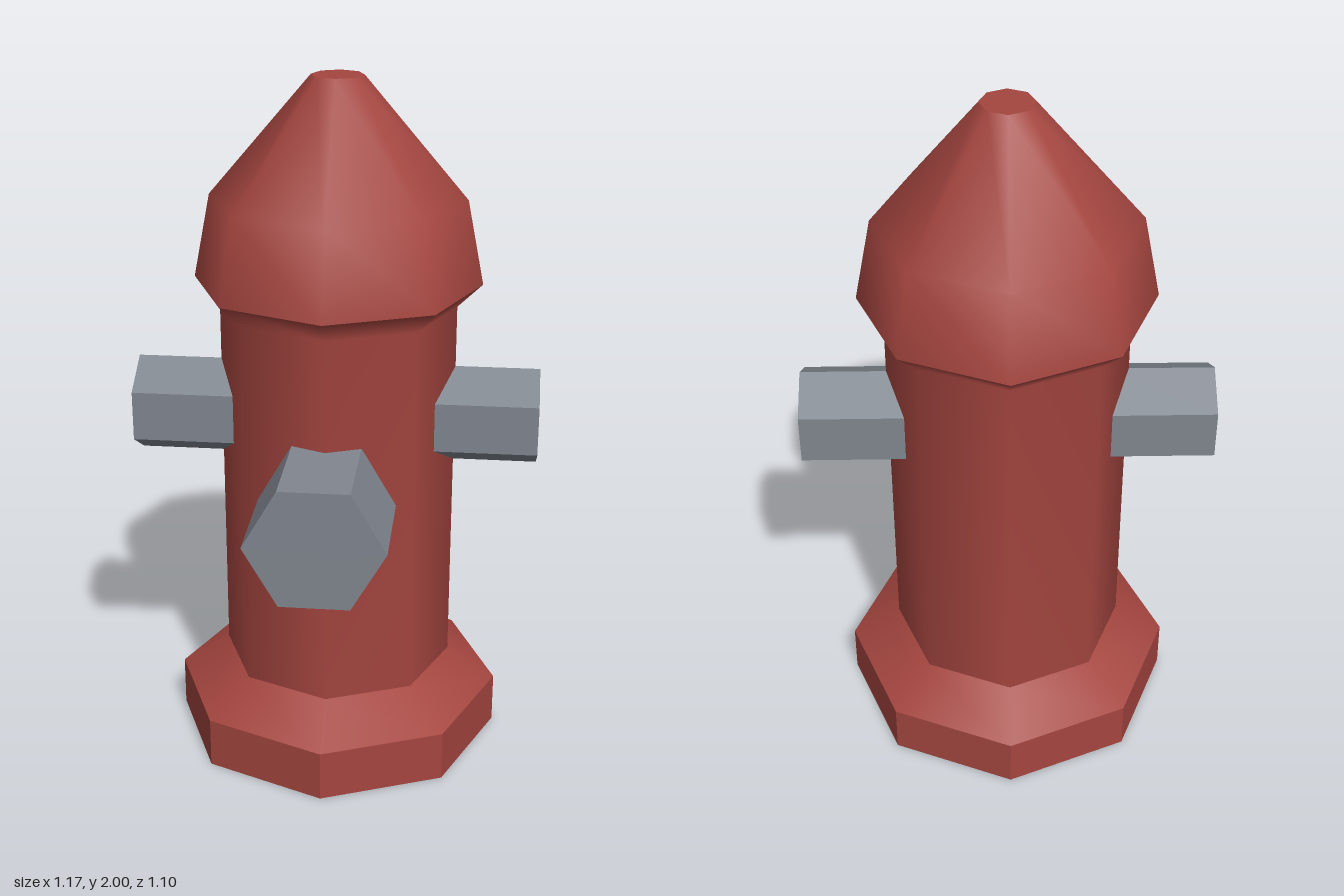
import * as THREE from 'three';

export function createModel() {
  const hydrant = new THREE.Group();
  hydrant.name = 'hydrant';
  const red = new THREE.MeshStandardMaterial({ color: 0xa4453f, side: THREE.DoubleSide });
  red.name = 'red paint';
  const grey = new THREE.MeshStandardMaterial({ color: 0x80868f, flatShading: true });
  grey.name = 'grey metal';
  const axisZ = -0.06;

  const add = (name, geometry, material, x = 0, y = 0, z = axisZ) => {
    const mesh = new THREE.Mesh(geometry, material);
    mesh.name = name;
    mesh.position.set(x, y, z);
    hydrant.add(mesh);
    return mesh;
  };

  // Eight-sided shell, smooth around, from [radius, height] pairs
  const shell = (name, profile) =>
    add(name, new THREE.LatheGeometry(profile.map(([r, y]) => new THREE.Vector2(r, y)), 8), red);

  // Faceted base ring, open and hollow underneath
  const ring = new THREE.CylinderGeometry(0.487, 0.487, 0.15, 8, 1, true).toNonIndexed();
  ring.computeVertexNormals();
  add('baseRing', ring, red, 0, 0.075);

  shell('baseSlope', [[0.487, 0.15], [0.342, 0.245]]);
  shell('barrel', [[0.342, 0.245], [0.342, 1.35], [0.413, 1.418]]);
  shell('bonnet', [[0.413, 1.418], [0.365, 1.66], [0.074, 2]]);

  // Flat tip of the bonnet
  const tip = new THREE.CircleGeometry(0.074, 8);
  tip.rotateX(-Math.PI / 2);
  add('bonnetTip', tip, red, 0, 2);

  // Hexagonal outlets
  const outlet = (radius, length) =>
    new THREE.CylinderGeometry(radius, radius, length, 6).rotateY(Math.PI / 2);

  add('frontOutlet', outlet(0.195, 0.312).rotateX(Math.PI / 2), grey, 0, 0.858, 0.394);
  for (const side of [-1, 1]) {
    add(side > 0 ? 'leftOutlet' : 'rightOutlet',
      outlet(0.145, 0.31).rotateZ(Math.PI / 2), grey, side * 0.43, 1.026);
  }
  return hydrant;
}
